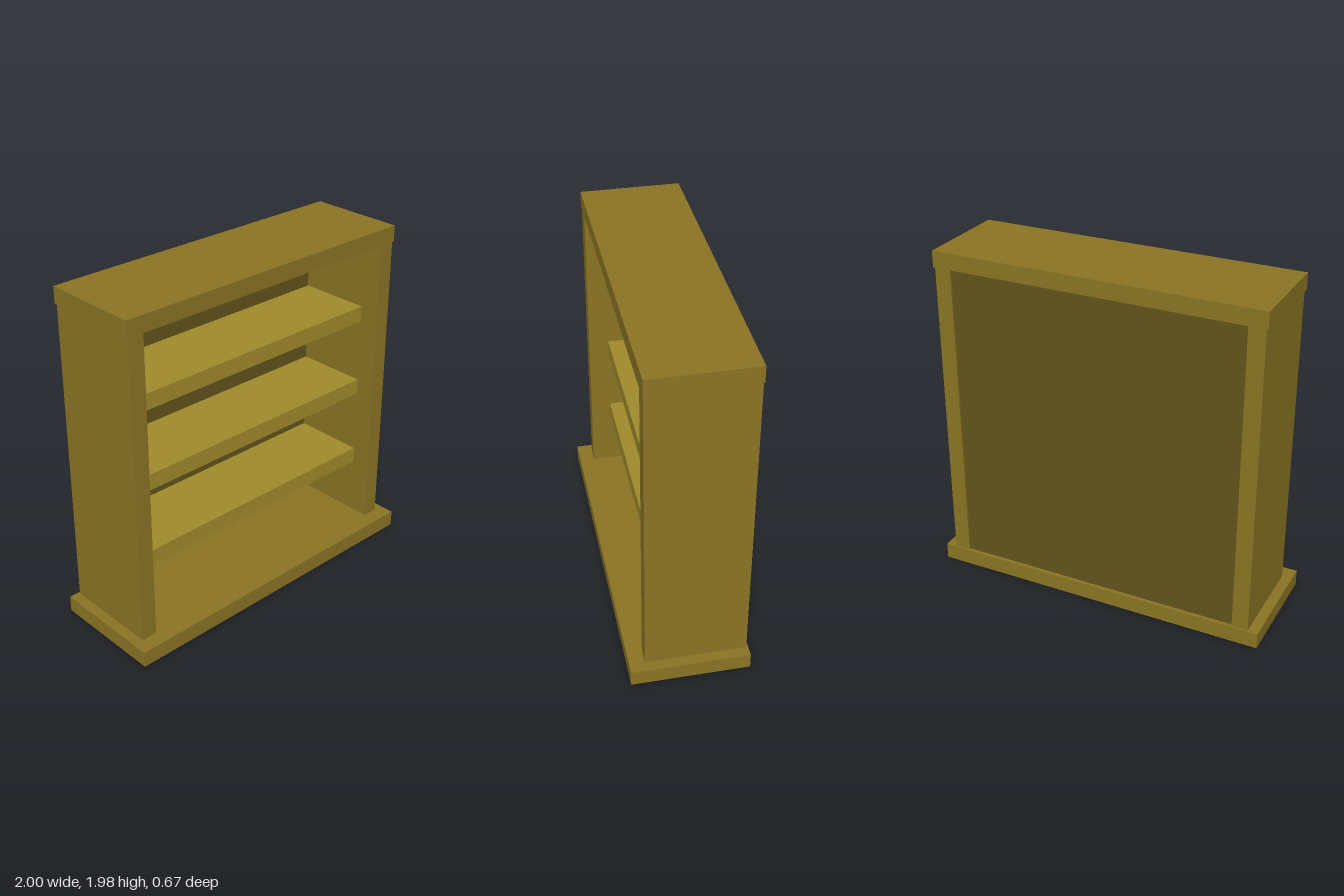
import * as THREE from 'three';

const frameMat = new THREE.MeshStandardMaterial({ color: 0x8a7424 });
const shelfMat = new THREE.MeshStandardMaterial({ color: 0x9f8a2a });
const backMat = new THREE.MeshStandardMaterial({ color: 0x62541c });

// Box given by its extents on each axis
function board(name, material, [x0, x1], [y0, y1], [z0, z1]) {
  const mesh = new THREE.Mesh(new THREE.BoxGeometry(x1 - x0, y1 - y0, z1 - z0), material);
  mesh.position.set((x0 + x1) / 2, (y0 + y1) / 2, (z0 + z1) / 2);
  mesh.name = name;
  return mesh;
}

export function createModel() {
  const bookcase = new THREE.Group();
  bookcase.name = 'bookcase';

  const thick = 0.094;
  const bottom = thick, top = 1.881;
  const inner = 0.846, outer = 0.94;
  const backFace = -0.304;

  // Plinth and overhanging top
  bookcase.add(board('base', frameMat, [-1, 1], [0, bottom], [-0.333, 0.333]));
  bookcase.add(board('topBoard', frameMat, [-0.95, 0.95], [top, top + thick], [-0.325, 0.248]));

  // Side panels
  bookcase.add(board('leftSide', frameMat, [inner, outer], [bottom, top], [-0.322, 0.245]));
  bookcase.add(board('rightSide', frameMat, [-outer, -inner], [bottom, top], [-0.322, 0.245]));

  // Slightly recessed back panel
  bookcase.add(board('backPanel', backMat, [-inner, inner], [bottom, top], [-0.311, backFace]));

  // Shelves, set back from the front edge
  for (let i = 0; i < 3; i++) {
    const y = 0.439 + i * 0.473;
    bookcase.add(board(`shelf${i + 1}`, shelfMat, [-inner, inner], [y, y + thick], [backFace, 0.128]));
  }
  return bookcase;
}
